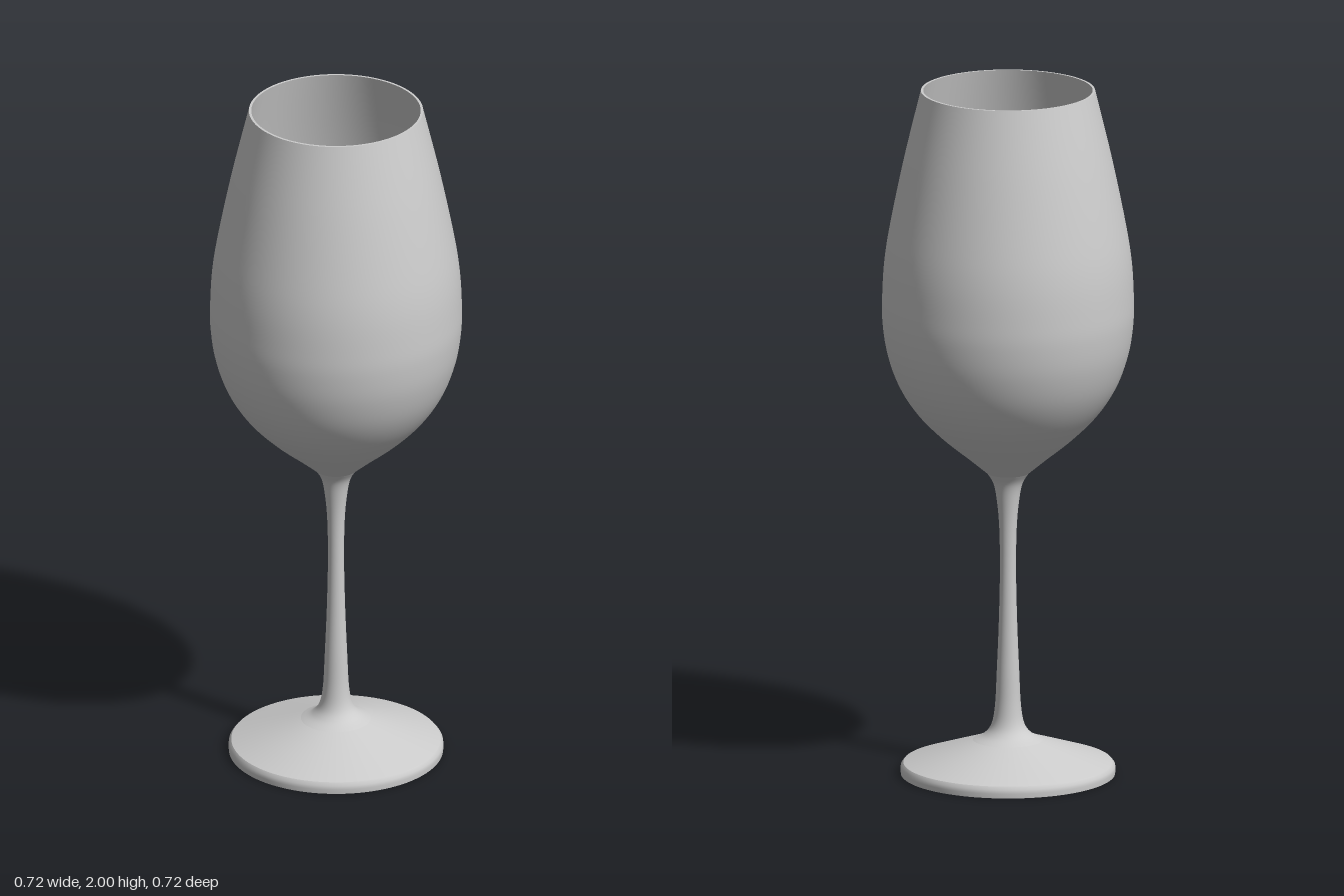
import * as THREE from 'three';

export function createModel() {
  const group = new THREE.Group();
  group.name = 'wineGlass';
  const glass = new THREE.MeshStandardMaterial({ color: 0xcccccc });
  glass.name = 'pale grey';

  // Revolve a profile; smooth profiles are splined, straight ones keep their corners.
  function turned(name, pairs, samples = 0) {
    let points = pairs.map(([r, y]) => new THREE.Vector2(r, y));
    if (samples) {
      points = new THREE.SplineCurve(points).getPoints(samples);
      points.forEach((p) => { p.x = Math.max(p.x, 0); });
    }
    const mesh = new THREE.Mesh(new THREE.LatheGeometry(points, 96), glass);
    mesh.name = name;
    group.add(mesh);
  }

  // Foot: flat underside, thin edge and sloping top
  turned('footUnderside', [[0, 0], [0.305, 0]]);
  turned('footEdge', [[0.305, 0], [0.306, 0.013], [0.305, 0.024], [0.298, 0.033]]);
  turned('footTop', [[0.298, 0.033], [0.2, 0.066], [0.1, 0.099]]);

  // Stem, flaring into the foot below and the bowl above
  turned('stem', [
    [0.1, 0.099], [0.068, 0.116], [0.047, 0.145], [0.037, 0.2], [0.032, 0.3], [0.026, 0.45],
    [0.023, 0.6], [0.025, 0.72], [0.032, 0.8], [0.042, 0.85], [0.06, 0.88],
  ], 60);

  // Bowl: outside, rim and inside
  turned('bowlOutside', [
    [0.06, 0.88], [0.11, 0.922], [0.19, 0.988], [0.26, 1.06], [0.311, 1.14], [0.343, 1.23],
    [0.357, 1.32], [0.358, 1.4], [0.352, 1.5], [0.335, 1.61], [0.296, 1.8], [0.248, 2],
  ], 66);
  turned('rim', [[0.248, 2], [0.241, 2]]);
  turned('bowlInside', [
    [0.241, 2], [0.289, 1.8], [0.328, 1.61], [0.345, 1.5], [0.351, 1.4], [0.35, 1.32],
    [0.336, 1.235], [0.304, 1.147], [0.253, 1.067], [0.184, 0.996], [0.12, 0.948],
    [0.06, 0.93], [0, 0.925],
  ], 72);

  return group;
}
